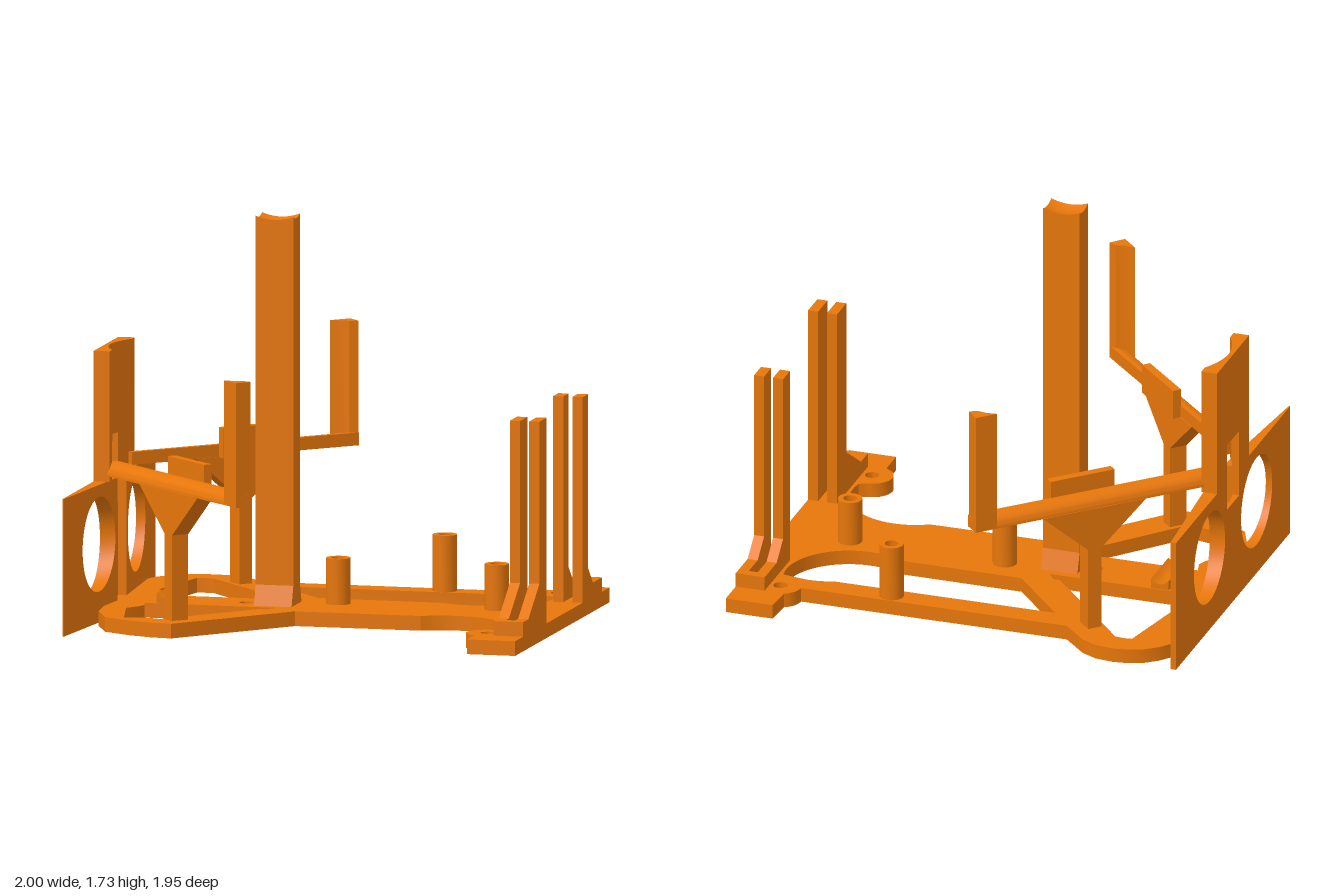
import * as THREE from 'three';
import { toCreasedNormals } from 'three/addons/utils/BufferGeometryUtils.js';

const orange = new THREE.MeshStandardMaterial({ color: 0xe6760a });
orange.name = 'orange';

const v2 = (pts) => pts.map(([a, b]) => new THREE.Vector2(a, b));

// points on an arc, as [x, z] pairs
function arc(cx, cz, r, a0, a1, n = 16) {
  return Array.from({ length: n + 1 }, (_, i) => {
    const a = a0 + ((a1 - a0) * i) / n;
    return [cx + r * Math.cos(a), cz + r * Math.sin(a)];
  });
}
const circle = (cx, cz, r, n = 28) => arc(cx, cz, r, 0, Math.PI * 2, n).slice(0, -1);

// outlines are wound anticlockwise so that hole walls face inwards
function extrude(pts, holes, depth, steps = 1) {
  const outer = v2(pts);
  if (THREE.ShapeUtils.isClockWise(outer)) outer.reverse();
  const shape = new THREE.Shape(outer);
  shape.holes = holes.map((h) => new THREE.Path(v2(h)));
  return new THREE.ExtrudeGeometry(shape, { depth, steps, bevelEnabled: false });
}

// footprint in [x, z], raised from y0 to y1
function slab(pts, y0, y1, holes = []) {
  const flip = (p) => p.map(([x, z]) => [x, -z]);
  return extrude(flip(pts), holes.map(flip), y1 - y0).rotateX(-Math.PI / 2).translate(0, y0, 0);
}

// side profile in [z, y], running from x0 to x1
function sideProfile(pts, x0, x1, holes = []) {
  const flip = (p) => p.map(([z, y]) => [-z, y]);
  return extrude(flip(pts), holes.map(flip), x1 - x0).rotateY(Math.PI / 2).translate(x0, 0, 0);
}

const box = (x0, x1, y0, y1, z0, z1) =>
  new THREE.BoxGeometry(x1 - x0, y1 - y0, z1 - z0).translate((x0 + x1) / 2, (y0 + y1) / 2, (z0 + z1) / 2);

export function createModel() {
  const model = new THREE.Group();
  model.name = 'standFrame';
  const add = (name, geometry, parent = model) => {
    const mesh = new THREE.Mesh(toCreasedNormals(geometry, 0.5), orange);
    mesh.name = name;
    parent.add(mesh);
  };
  const T = 0.063; // base thickness
  const PI = Math.PI;

  // base plate with curved cut-outs, struts and screw holes
  const outline = [
    [1, 0.805], [0.79, 0.805], [0.79, 0.68],
    ...arc(0.82, 0.595, 0.087, PI * 0.64, PI * 1.5, 16),
    ...arc(0.575, 0.435, 0.28, 0.2, -2.12, 28),
    [-0.12, 0.2], [-0.54, 0.68], [-0.63, 0.67], [-0.73, 0.635], [-0.86, 0.56], [-0.93, 0.4], [-0.945, 0.25],
    [-0.97, 0.2], [-0.97, -0.55], [-0.94, -0.63], [-0.9, -0.68], [-0.85, -0.72], [-0.79, -0.745], [-0.72, -0.755],
    [-0.64, -0.745], [-0.57, -0.71], [-0.52, -0.66], [-0.46, -0.6], [0.73, -0.6],
    ...arc(0.82, -0.6, 0.087, PI, PI * 1.36, 8),
    [0.79, -0.805], [1, -0.805],
  ];
  const backWindow = [
    [-0.22, -0.12], [-0.8, -0.12], [-0.785, -0.18], [-0.8, -0.22], [-0.84, -0.28], [-0.765, -0.635], [-0.73, -0.64],
    [-0.69, -0.635], [-0.28, -0.165], [-0.25, -0.165],
  ];
  const frontWindow = [
    [-0.22, 0.12], [-0.25, 0.165], [-0.28, 0.165], [-0.62, 0.555], [-0.66, 0.54], [-0.71, 0.53], [-0.78, 0.55],
    [-0.84, 0.28], [-0.8, 0.22], [-0.785, 0.18], [-0.8, 0.12],
  ];
  const sideWindow = [
    [-0.37, -0.49], [0.62, -0.49], [0.68, -0.507], [0.74, -0.51], [0.8, -0.5],
    ...arc(0.575, -0.435, 0.28, -0.2, 2.12, 28), [-0.12, -0.2],
  ];
  const screwHoles = [[0.825, 0.595], [0.825, -0.6], [-0.385, 0]].map(([x, z]) => circle(x, z, 0.03, 20));
  add('basePlate', slab(outline, 0, T, [backWindow, frontWindow, sideWindow, ...screwHoles]));

  // hollow screw posts
  for (const [x, z, top] of [[0, -0.07, 0.26], [0.695, -0.07, 0.26], [0.345, -0.545, 0.305]])
    add('screwPost', slab(circle(x, z, 0.052), T, top, [circle(x, z, 0.029)]));

  // tall column with a dished top and flared foot
  const dip = Array.from({ length: 13 }, (_, i) => {
    const t = i / 6 - 1;
    return [-0.2475 + 0.0825 * t, 1.716 + 0.016 * t * t];
  });
  const column = extrude([[-0.165, T], [-0.33, T], ...dip], [], 0.11, 8).translate(0, 0, -0.055);
  const cp = column.attributes.position;
  for (let i = 0; i < cp.count; i++)
    if (cp.getY(i) > 1) cp.setY(i, cp.getY(i) - 0.012 * (1 - (cp.getZ(i) / 0.055) ** 2));
  add('column', column);
  add('columnFoot', sideProfile([[-0.085, T], [0.085, T], [0.055, 0.15], [-0.055, 0.15]], -0.33, -0.165));

  // low cradle on the centre bar
  const cradle = [[-0.67, T], [-0.75, T], [-0.75, 0.105], [-0.73, 0.09], [-0.71, 0.085], [-0.69, 0.09], [-0.67, 0.105]];
  add('cradle', extrude(cradle, [], 0.23).translate(0, 0, -0.115));

  // back rest with a hollow running up its middle and a window at its foot
  const rest = (z0, z1) => {
    const pts = [[-1, z1], [-1, z0]];
    for (let i = 0; i <= 28; i++) {
      const z = z0 + ((z1 - z0) * i) / 28;
      pts.push([-0.93 - 0.05 * Math.max(0, 1 - (z / 0.165) ** 2), z]);
    }
    return pts;
  };
  add('backRestTop', slab(rest(-0.21, 0.21), 0.76, 1.15));
  add('backRestSide', slab(rest(0.08, 0.21), 0.59, 0.76));
  add('backRestSide', slab(rest(-0.21, -0.08), 0.59, 0.76));
  add('backRestFoot', slab(rest(-0.08, 0.08), 0, 0.46));

  // tapering end plates with round openings
  for (const s of [1, -1]) {
    const g = sideProfile(
      [[0.08 * s, 0], [0.745 * s, 0], [0.745 * s, 0.59], [0.08 * s, 0.59]], 0, 1, [circle(0.307 * s, 0.335, 0.203, 48)]);
    const p = g.attributes.position;
    const edge = s > 0 ? 0.006 : 0.025;
    for (let i = 0; i < p.count; i++) {
      const t = (Math.abs(p.getZ(i)) - 0.08) / 0.665;
      p.setX(i, -1 + p.getX(i) * THREE.MathUtils.lerp(0.07, edge, t));
    }
    add('endPlate', g);
  }

  // diagonal arms: built along local x, then turned 45 degrees
  for (const s of [1, -1]) {
    const arm = new THREE.Group();
    arm.name = s > 0 ? 'frontArm' : 'backArm';
    arm.position.set(-0.55, 0, 0.55 * s);
    arm.rotation.y = (-s * PI) / 4;
    model.add(arm);
    // bar with a rounded outer top edge
    const round = arc(-0.018, 0.615, 0.055, 0, PI / 2, 10).map(([z, y]) => [z * s, y]);
    add('armBar', sideProfile([[-0.037 * s, 0.615], ...round, [-0.037 * s, 0.67]], -0.56, 0.56), arm);
    const [z0, z1] = s > 0 ? [-0.073, -0.035] : [0.035, 0.073];
    add('armPad', box(-0.13, 0.17, 0.615, 0.745, z0, z1), arm);
    // pillar and triangular fin under the bar
    add('armPillar', box(-0.031, 0.031, T, 0.45, -0.04, 0.04), arm);
    add('armFin', extrude([[-0.031, 0.43], [0.031, 0.43], [0.243, 0.617], [-0.243, 0.617]], [], 0.08).translate(0, 0, -0.04), arm);
    // upright at the outer end with a hollowed inner side
    const tip = [[-0.13, 0.917], [-0.18, 0.973], [-0.25, 0.902], [-0.205, 0.907], [-0.165, 0.9]];
    add('armUpright', slab(tip.map(([x, z]) => [x, z * s]), 0.615, 1.15));
  }

  // slotted uprights on the end bar: twin fins joined by a low block
  const frontFin = [[0.67, T], [0.67, 0.125], [0.58, 0.125], [0.39, 0.25], [0.39, 0.945], [0.268, 0.945], [0.268, T]];
  const backFin = [[-0.675, T], [-0.675, 0.125], [-0.52, 0.125], [-0.435, 0.2], [-0.435, 0.945], [-0.345, 0.945], [-0.345, T]];
  for (const profile of [frontFin, backFin]) {
    add('slottedUpright', sideProfile(profile, 0.87, 0.915));
    add('slottedUpright', sideProfile(profile, 0.955, 1));
  }
  add('slotEnd', box(0.915, 0.955, T, 0.125, 0.625, 0.67));
  add('slotEnd', box(0.915, 0.955, T, 0.125, -0.675, -0.635));

  return model;
}
